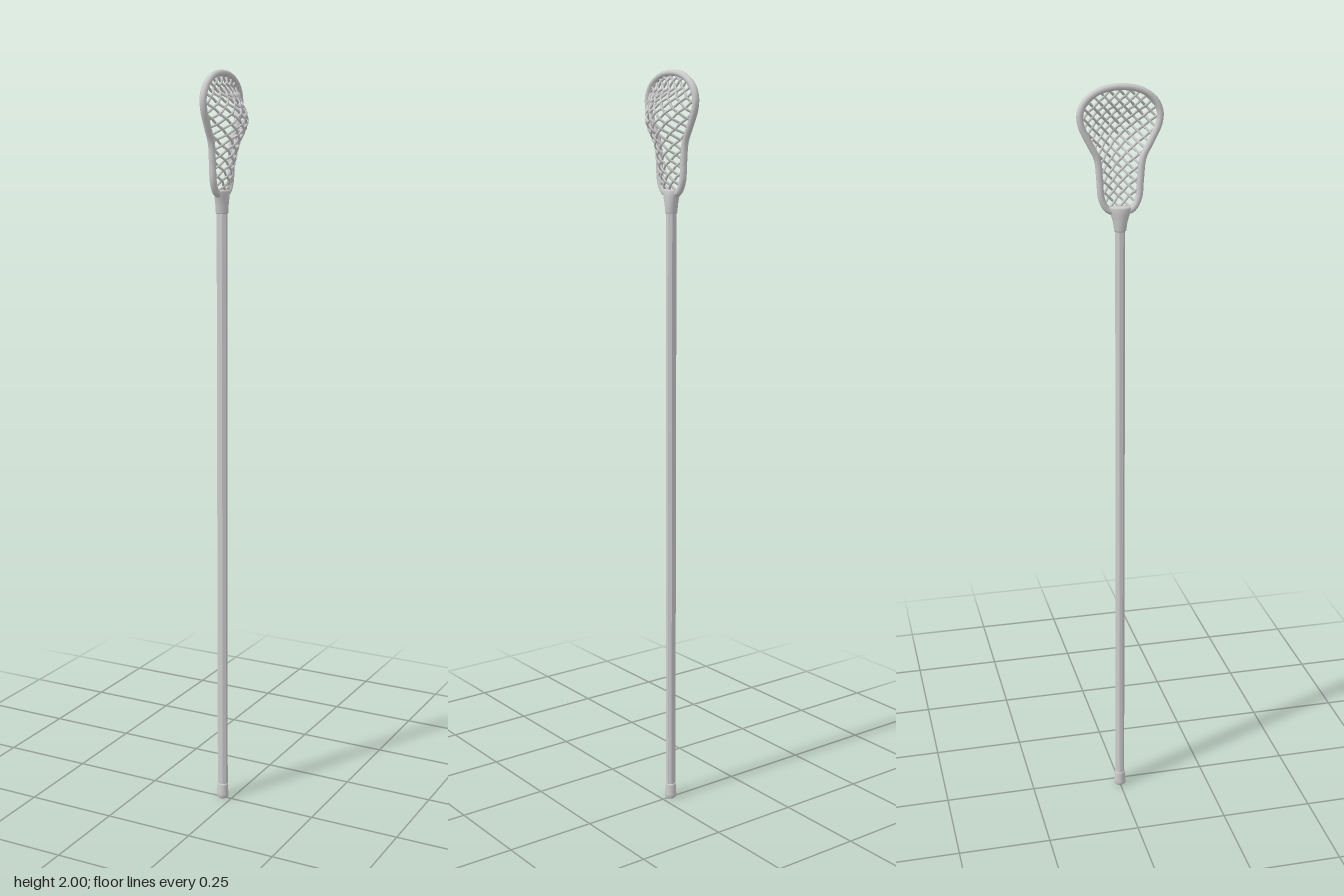
import * as THREE from 'three';

const X0 = -0.027; // plane of the head frame and axis of the shaft

// Right half of the head outline: [half width, height]
const OUTLINE = [
  [0, 1.688], [0.03, 1.692], [0.047, 1.72], [0.052, 1.77], [0.058, 1.82],
  [0.078, 1.86], [0.097, 1.9], [0.1, 1.93], [0.086, 1.96], [0.05, 1.984], [0, 1.992],
];
// Deepest line of the pocket: [x, height]
const RIDGE = [
  [-0.024, 1.688], [-0.008, 1.72], [0.006, 1.78], [0.018, 1.82], [0.034, 1.85], [0.04, 1.87],
  [0.034, 1.895], [0.008, 1.93], [-0.018, 1.952], [-0.027, 1.992],
];

// Linear look-up of the first value by height; -1 outside the table
function lookUp(table, y) {
  for (let i = 1; i < table.length; i++) {
    const [a, ya] = table[i - 1], [b, yb] = table[i];
    if (y >= ya && y <= yb) return a + (b - a) * (y - ya) / (yb - ya);
  }
  return -1;
}

// Closed solid through rings given as [y, half x, half z]
function loft(rings, sides, flat, turn = 0) {
  const pos = [], index = [];
  const all = [[rings[0][0], 0, 0], ...rings, [rings.at(-1)[0], 0, 0]];
  for (const [y, hx, hz] of all) {
    for (let i = 0; i < sides; i++) {
      const a = (i + turn) / sides * Math.PI * 2;
      pos.push(X0 + hx * Math.sin(a), y, hz * Math.cos(a));
    }
  }
  for (let r = 0; r < all.length - 1; r++) {
    for (let i = 0; i < sides; i++) {
      const a = r * sides + i, b = r * sides + (i + 1) % sides;
      index.push(a, b, b + sides, a, b + sides, a + sides);
    }
  }
  let geo = new THREE.BufferGeometry();
  geo.setAttribute('position', new THREE.Float32BufferAttribute(pos, 3));
  geo.setIndex(index);
  if (flat) geo = geo.toNonIndexed();
  geo.computeVertexNormals();
  return geo;
}

export function createModel() {
  const root = new THREE.Group();
  root.name = 'fieldStick';
  const grey = new THREE.MeshStandardMaterial({ color: 0xcccccc });
  const add = (name, geo, parent = root) => {
    const mesh = new THREE.Mesh(geo, grey);
    mesh.name = name;
    parent.add(mesh);
    return mesh;
  };

  // Eight-sided shaft
  add('shaft', loft([[0.03, 0.0145, 0.0125], [1.66, 0.0145, 0.0125]], 8, true, 0.5));

  // Butt cap with a rounded, flared end
  add('buttCap', loft([
    [0, 0.012, 0.012], [0.004, 0.016, 0.016], [0.014, 0.0165, 0.0165],
    [0.022, 0.0145, 0.0145], [0.04, 0.0155, 0.0145], [0.044, 0.014, 0.0125],
  ], 20, false));

  // Throat: socket widening from the shaft into the head
  add('throat', loft([
    [1.638, 0.0145, 0.014], [1.641, 0.0165, 0.0155], [1.66, 0.017, 0.018],
    [1.68, 0.018, 0.024], [1.695, 0.0175, 0.029], [1.7, 0.015, 0.027],
  ], 24, false));

  // Rim of the head
  const side = OUTLINE.map(([z, y]) => new THREE.Vector3(0, y, z));
  const mirrored = OUTLINE.slice(1, -1).reverse().map(([z, y]) => new THREE.Vector3(0, y, -z));
  const rimPath = new THREE.CatmullRomCurve3([...side, ...mirrored], true, 'centripetal');
  const rim = new THREE.TubeGeometry(rimPath, 120, 0.0085, 10, true);
  rim.scale(1.1, 1, 1).translate(X0, 0, 0);
  add('headRim', rim);

  // Pocket: two families of diagonal strands laid over the bulging surface
  const pocket = new THREE.Group();
  pocket.name = 'pocketNet';
  root.add(pocket);
  const pitch = 0.026, step = 0.0045, yMid = 1.84;
  for (const dir of [1, -1]) {
    for (let k = -10; k <= 10; k++) {
      let run = [];
      const finish = () => {
        if (run.length > 2) {
          const path = new THREE.CatmullRomCurve3(run);
          add('netStrand', new THREE.TubeGeometry(path, run.length * 2, 0.0034, 6), pocket);
        }
        run = [];
      };
      for (let y = 1.69; y < 1.99; y += step) {
        const z = dir * (y - yMid + (k + 0.5) * pitch);
        const w = lookUp(OUTLINE, y);
        if (Math.abs(z) > w) { finish(); continue; }
        const bulge = Math.cos(Math.PI / 2 * z / w);
        // Strands pass over and under one another
        const weave = 0.0015 * dir * Math.cos(Math.PI * 2 * z / pitch);
        run.push(new THREE.Vector3(X0 + (lookUp(RIDGE, y) - X0) * bulge + weave, y, z));
      }
      finish();
    }
  }
  return root;
}
